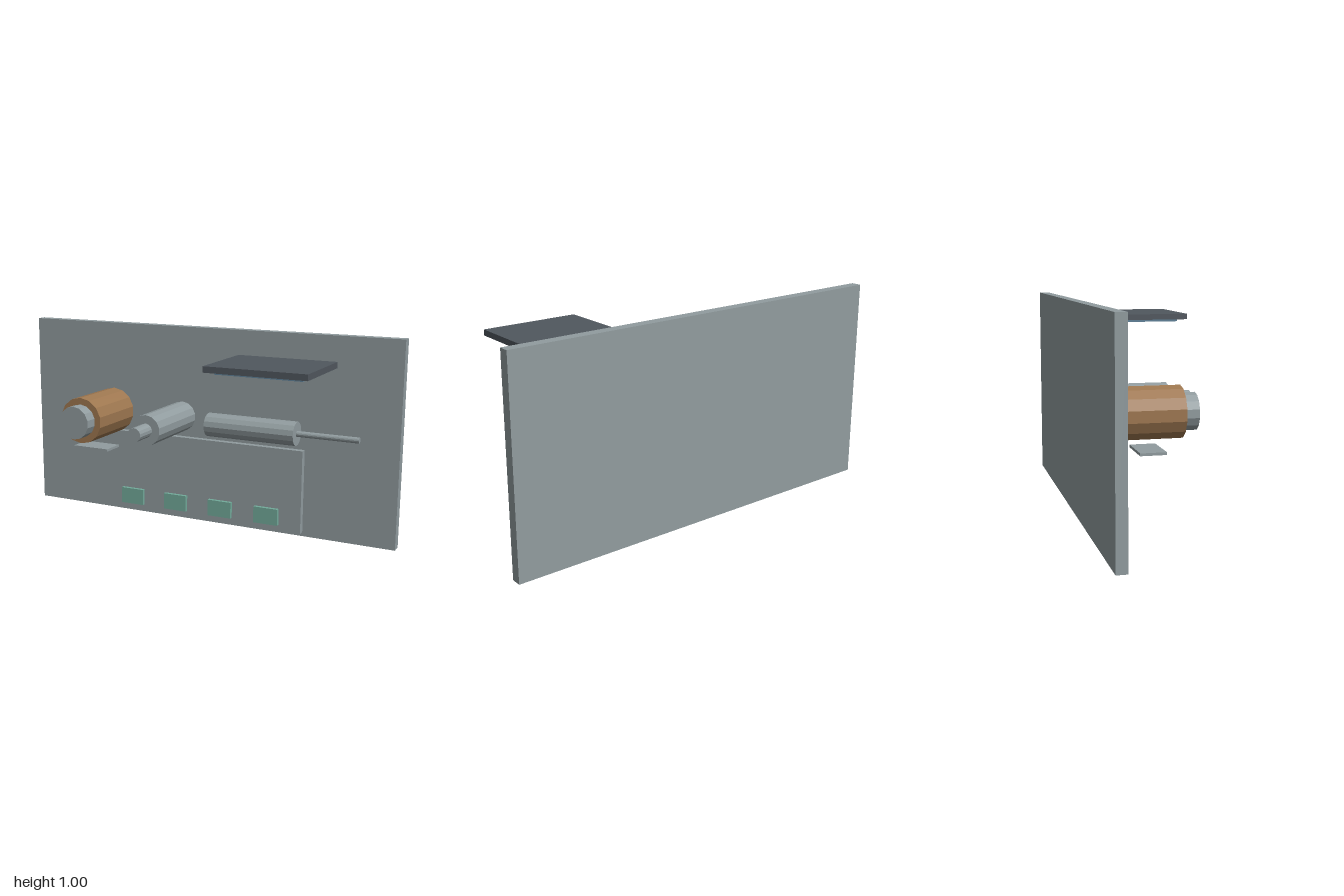
import * as THREE from 'three';

const SIDES = 14;

export function createModel() {
  const model = new THREE.Group();
  const steel = new THREE.MeshStandardMaterial({ name: 'steelGrey', color: 0x919c9f });
  const copper = new THREE.MeshStandardMaterial({ name: 'copper', color: 0x9e7750 });
  const green = new THREE.MeshStandardMaterial({ name: 'greenKey', color: 0x72aa9a });
  const dark = new THREE.MeshStandardMaterial({ name: 'darkGrey', color: 0x50575e });
  const blue = new THREE.MeshStandardMaterial({ name: 'blueGlass', color: 0x5f8198 });
  for (const m of [steel, copper, green, dark, blue]) m.flatShading = true;

  // Box given by its [min, max] extent on each axis
  function box(name, material, x, y, z) {
    const mesh = new THREE.Mesh(
      new THREE.BoxGeometry(x[1] - x[0], y[1] - y[0], z[1] - z[0]), material);
    mesh.position.set((x[0] + x[1]) / 2, (y[0] + y[1]) / 2, (z[0] + z[1]) / 2);
    mesh.name = name;
    model.add(mesh);
  }

  // Faceted rod between two ends along the x or z axis, at height y
  function rod(name, material, axis, radius, from, to, across, y = 0.543) {
    const geometry = new THREE.CylinderGeometry(radius, radius, to - from, SIDES);
    const mid = (from + to) / 2;
    if (axis === 'z') geometry.rotateX(Math.PI / 2);
    else geometry.rotateZ(-Math.PI / 2);
    const mesh = new THREE.Mesh(geometry, material);
    mesh.position.set(axis === 'z' ? across : mid, y, axis === 'z' ? mid : across);
    mesh.name = name;
    model.add(mesh);
  }

  // Backing panels
  box('backPanel', steel, [-1, 1], [0, 1], [-0.327, -0.277]);
  box('innerPanel', steel, [-0.543, 0.541], [0.023, 0.44], [-0.267, -0.235]);

  // Row of keys
  for (let i = 0; i < 4; i++) {
    const x = -0.375 + i * 0.25;
    box('key' + (i + 1), green, [x - 0.063, x + 0.063], [0.064, 0.146], [-0.206, -0.187]);
  }

  // Copper coil around its core, with the small shelf below
  rod('coil', copper, 'z', 0.116, -0.265, 0.062, -0.523);
  rod('coilCore', steel, 'z', 0.083, -0.27, 0.127, -0.523);
  box('coilShelf', steel, [-0.622, -0.424], [0.376, 0.388], [-0.138, -0.022]);

  // Forward-facing cylinder and shaft
  rod('forwardCylinder', steel, 'z', 0.075, -0.277, 0.107, -0.127);
  rod('forwardShaft', steel, 'z', 0.034, 0.1, 0.22, -0.127);

  // Sideways cylinder and its thin piston rod
  rod('sideCylinder', steel, 'x', 0.058, 0.08, 0.54, -0.155);
  rod('pistonRod', steel, 'x', 0.014, 0.53, 0.842, -0.155);

  // Overhead display with its screen facing down
  box('displayCase', dark, [0.279, 0.756], [0.884, 0.912], [-0.055, 0.328]);
  box('displayScreen', blue, [0.315, 0.72], [0.872, 0.884], [-0.013, 0.287]);

  return model;
}
